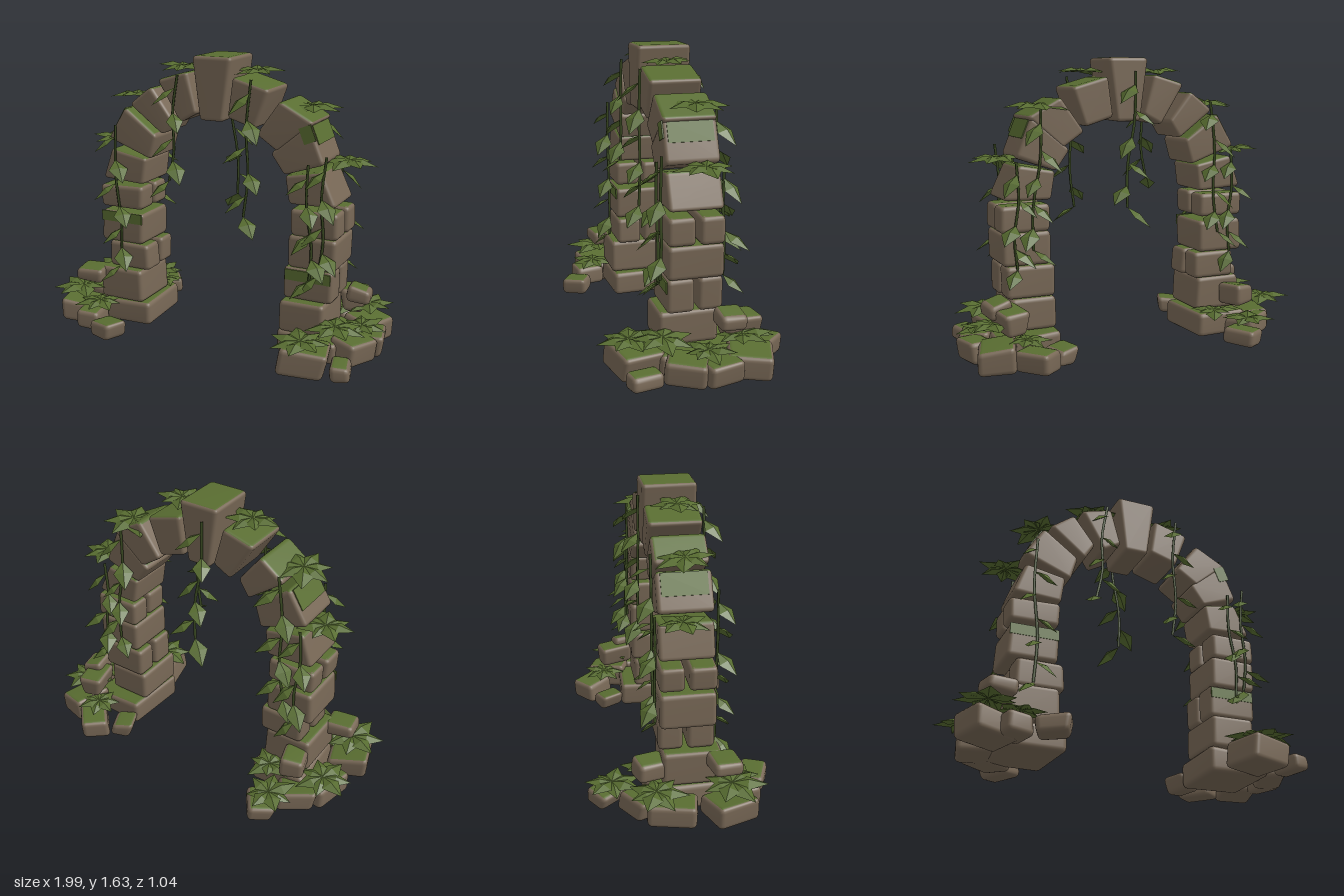
import * as THREE from 'three';
import { mergeVertices } from 'three/addons/utils/BufferGeometryUtils.js';
import { RoundedBoxGeometry } from 'three/addons/geometries/RoundedBoxGeometry.js';

const material = (name, color, side = THREE.FrontSide) => {
  const m = new THREE.MeshStandardMaterial({ color, side });
  m.name = name;
  return m;
};

export function createModel() {
  const stoneMat = material('stone', 0x786856);
  const mossMat = material('moss', 0x596d31);
  const leafMat = material('leaf', 0x576c30, THREE.DoubleSide);
  const stemMat = material('stem', 0x3a4a22);
  const model = new THREE.Group();
  model.name = 'overgrownStoneArch';

  let seed = 7;
  const rand = (a, b) => {
    seed = (seed * 16807) % 2147483647;
    return a + (b - a) * (seed / 2147483647);
  };

  // Bevelled block warped to a four-cornered outline (top left, top right, bottom right, bottom left);
  // faces whose normal rises above mossLimit are moss.
  function stone(name, [tl, tr, br, bl], z0, z1, { turn = 0, tilt = 0, lean = 0, bevel = 0.022, mossLimit = 0.6 } = {}) {
    const c = [0, 1].map(i => (tl[i] + tr[i] + br[i] + bl[i]) / 4);
    const w = (Math.hypot(tr[0] - tl[0], tr[1] - tl[1]) + Math.hypot(br[0] - bl[0], br[1] - bl[1])) / 2;
    const h = (Math.hypot(tl[0] - bl[0], tl[1] - bl[1]) + Math.hypot(tr[0] - br[0], tr[1] - br[1])) / 2;
    let geo = new RoundedBoxGeometry(w, h, z1 - z0, 2, bevel);
    geo.deleteAttribute('normal');
    geo.deleteAttribute('uv');
    geo.clearGroups();
    geo = mergeVertices(geo, 1e-4);
    const p = geo.attributes.position;
    for (let i = 0; i < p.count; i++) {
      const u = p.getX(i) / w + 0.5, v = p.getY(i) / h + 0.5;
      const at = k => (1 - v) * ((1 - u) * bl[k] + u * br[k]) + v * ((1 - u) * tl[k] + u * tr[k]) - c[k];
      p.setXY(i, at(0), at(1));
    }
    geo.rotateZ(tilt).rotateX(lean).rotateY(turn).translate(c[0], c[1], (z0 + z1) / 2);
    geo.computeVertexNormals();

    const bare = [], moss = [], tri = new THREE.Triangle(), n = new THREE.Vector3();
    const idx = geo.index.array;
    for (let i = 0; i < idx.length; i += 3) {
      tri.setFromAttributeAndIndices(p, idx[i], idx[i + 1], idx[i + 2]);
      tri.getNormal(n);
      (n.y > mossLimit ? moss : bare).push(idx[i], idx[i + 1], idx[i + 2]);
    }
    geo.setIndex([...bare, ...moss]);
    geo.addGroup(0, bare.length, 0);
    geo.addGroup(bare.length, moss.length, 1);
    const mesh = new THREE.Mesh(geo, [stoneMat, mossMat]);
    mesh.name = name;
    model.add(mesh);
  }
  const rect = (x0, x1, y0, y1, j) => [
    [x0 + rand(0, j), y1 - rand(0, j)], [x1 - rand(0, j), y1 - rand(0, j)],
    [x1 - rand(0, j), y0], [x0 + rand(0, j), y0]];

  // Wedge stones of the arch
  const BACK = -0.135, FRONT = 0.165;
  stone('keystone', [[-0.115, 1.625], [0.125, 1.625], [0.072, 1.275], [-0.067, 1.275]], BACK, FRONT, { mossLimit: 0.95 });
  [
    [[-0.34, 1.48], [-0.15, 1.535], [-0.09, 1.31], [-0.195, 1.25]],
    [[-0.525, 1.33], [-0.38, 1.44], [-0.25, 1.27], [-0.31, 1.17]],
    [[-0.67, 1.12], [-0.555, 1.31], [-0.35, 1.16], [-0.39, 1.02]],
    [[-0.65, 1.065], [-0.42, 1.02], [-0.44, 0.865], [-0.715, 0.88]],
    [[0.125, 1.525], [0.34, 1.465], [0.26, 1.25], [0.095, 1.3]],
    [[0.4, 1.415], [0.595, 1.31], [0.39, 1.14], [0.265, 1.225]],
    [[0.565, 1.315], [0.655, 1.095], [0.43, 1.02], [0.35, 1.13]],
    [[0.435, 1.02], [0.64, 1.06], [0.73, 0.87], [0.46, 0.865]],
  ].forEach(q => stone('archStone', q, BACK, FRONT - 0.01, { mossLimit: 0.7 }));

  // Pillar courses: x range, y range, and whether the course is a pair of stones
  [
    [-0.735, -0.44, 0.71, 0.855, true], [-0.735, -0.44, 0.5, 0.695, false],
    [-0.69, -0.405, 0.345, 0.51, true], [-0.73, -0.435, 0.15, 0.35, false],
    [0.465, 0.755, 0.695, 0.85, true], [0.45, 0.745, 0.515, 0.7, false],
    [0.435, 0.73, 0.335, 0.52, true], [0.42, 0.7, 0.15, 0.34, false],
  ].forEach(([x0, x1, y0, y1, pair]) => {
    const spans = pair ? [[0.018, FRONT], [BACK, -0.002]] : y0 < 0.2 ? [[-0.12, 0.2]] : [[BACK, FRONT]];
    for (const [z0, z1] of spans)
      stone('pillarStone', rect(x0, x1, y0, y1, 0.015), z0, z1, { mossLimit: 0.95, bevel: 0.026 });
  });

  // Moss creeping over stone edges: centre, size, lean
  [
    [-0.587, 0.655, 0.164, 0.27, 0.06, 0.008, 0], [0.583, 0.475, 0.164, 0.26, 0.06, 0.008, 0],
    [0.593, 1.248, 0.01, 0.11, 0.009, 0.24, -1.18], [-0.594, 1.248, 0.01, 0.12, 0.009, 0.24, 1.03],
    [0.56, 1.25, 0.154, 0.09, 0.07, 0.008, -1.18],
  ].forEach(([x, y, z, w, h, d, lean]) => {
    const patch = new THREE.Mesh(new THREE.BoxGeometry(w, h, d), mossMat);
    patch.position.set(x, y, z);
    patch.rotation.z = lean;
    patch.name = 'mossPatch';
    model.add(patch);
  });

  // Footings and fallen rubble: centre x, bottom, centre z, width, height, depth, turn
  [
    [-0.57, 0.01, 0.0, 0.38, 0.15, 0.4, 0.05], [-0.83, 0.01, 0.22, 0.28, 0.15, 0.24, 0.3],
    [-0.8, 0.01, -0.08, 0.22, 0.13, 0.26, -0.2], [-0.58, 0.01, -0.4, 0.2, 0.13, 0.19, 0.6],
    [-0.54, 0.01, 0.41, 0.19, 0.1, 0.15, -0.4], [-0.72, 0.01, 0.31, 0.2, 0.12, 0.18, 0.2],
    [-0.72, 0.01, -0.22, 0.24, 0.15, 0.2, 0.5],
    [-0.78, 0.26, 0.2, 0.2, 0.1, 0.16, 0.15], [-0.68, 0.19, -0.18, 0.18, 0.13, 0.17, 0.3],
    [0.6, 0.01, 0.0, 0.42, 0.15, 0.4, -0.05], [0.63, 0.01, 0.32, 0.3, 0.17, 0.24, 0.25],
    [0.63, 0.01, -0.38, 0.21, 0.14, 0.2, 0.75], [0.48, 0.01, -0.29, 0.18, 0.12, 0.15, 0.4],
    [0.83, 0.01, 0.09, 0.22, 0.15, 0.22, -0.4], [0.84, 0.01, 0.31, 0.15, 0.1, 0.18, 0.25],
    [0.8, 0.01, -0.25, 0.24, 0.15, 0.24, -0.3], [0.88, 0.01, -0.08, 0.18, 0.15, 0.2, 0.2],
    [0.78, 0.265, -0.15, 0.2, 0.1, 0.15, 0.15], [0.73, 0.19, -0.22, 0.17, 0.13, 0.2, 0.2],
  ].forEach(([x, y, z, w, h, d, turn]) =>
    stone('rubble', rect(x - w / 2, x + w / 2, y, y + h, 0.04), z - d / 2, z + d / 2, {
      turn, tilt: w > 0.35 ? 0 : rand(-0.12, 0.12), lean: w > 0.35 ? 0 : rand(-0.12, 0.12),
      bevel: 0.028, mossLimit: 0.9,
    }));

  // Folded leaf of unit length pointing along +z
  const B = [0, 0, 0], L = [-0.33, -0.05, 0.42], R = [0.33, -0.05, 0.42], M = [0, 0.07, 0.45], T = [0, -0.1, 1];
  const leafGeo = new THREE.BufferGeometry();
  leafGeo.setAttribute('position', new THREE.Float32BufferAttribute(
    [B, M, R, B, L, M, M, T, R, M, L, T].flat(), 3));
  leafGeo.computeVertexNormals();
  function leaf(parent, pos, azimuth, pitch, size) {
    const m = new THREE.Mesh(leafGeo, leafMat);
    m.name = 'leaf';
    m.position.copy(pos);
    m.rotation.set(pitch, azimuth, 0, 'YXZ');
    m.scale.setScalar(size);
    parent.add(m);
  }

  // Flat leaf rosettes: centre and radius
  [
    [-0.23, 1.555, 0.03, 0.15], [0.22, 1.555, 0.03, 0.15], [-0.55, 1.375, 0.02, 0.16], [0.51, 1.375, -0.04, 0.17],
    [-0.72, 1.1, -0.02, 0.14], [0.73, 1.1, -0.03, 0.16],
    [-0.63, 0.155, -0.38, 0.15], [-0.85, 0.22, -0.17, 0.16], [-0.83, 0.22, 0.23, 0.17], [-0.68, 0.165, 0.28, 0.14],
    [-0.52, 0.165, -0.19, 0.13], [0.62, 0.185, 0.34, 0.17], [0.76, 0.24, 0.2, 0.16],
    [0.82, 0.24, -0.2, 0.16], [0.84, 0.18, -0.02, 0.13], [0.66, 0.165, -0.3, 0.12],
  ].forEach(([x, y, z, r]) => {
    const rosette = new THREE.Group();
    rosette.name = 'leafRosette';
    rosette.position.set(x, y, z);
    const start = rand(0, 1);
    for (let i = 0; i < 7; i++)
      leaf(rosette, new THREE.Vector3(), start + i * Math.PI * 2 / 7, rand(-0.12, 0.1), r * rand(0.85, 1.15));
    model.add(rosette);
  });

  // Hanging vines: x, top, bottom, side (+1 front, -1 back), sideways drift
  [
    [-0.19, 1.52, 0.92, 1, -0.06], [0.25, 1.52, 0.77, 1, -0.04], [-0.6, 1.21, 0.36, 1, 0.01],
    [0.58, 1.1, 0.46, 1, 0.02], [0.68, 1.15, 0.5, 1, -0.03],
    [-0.03, 1.55, 0.8, -1, 0.05], [-0.5, 1.38, 0.62, -1, -0.06], [0.52, 1.35, 0.6, -1, 0.05],
    [-0.64, 1.1, 0.5, -1, 0], [0.66, 1.08, 0.5, -1, 0],
  ].forEach(([x, top, bottom, side, drift]) => {
    const vine = new THREE.Group();
    vine.name = side > 0 ? 'frontVine' : 'backVine';
    const z = side > 0 ? 0.182 : -0.148;
    const curve = new THREE.CatmullRomCurve3([0, 0.35, 0.7, 1].map((t, i) => new THREE.Vector3(
      x + drift * t + [0, -0.012, 0.015, 0][i], top + (bottom - top) * t, z)));
    const stem = new THREE.Mesh(new THREE.TubeGeometry(curve, 10, 0.008, 5), stemMat);
    stem.name = 'vineStem';
    vine.add(stem);
    const count = Math.round((top - bottom) / 0.15);
    for (let i = 0; i <= count; i++) {
      const swing = (i % 2 ? 1 : -1) * rand(0.6, 1.05);
      const t = Math.min(1, (i + 0.5) / (count + 0.5));
      leaf(vine, curve.getPoint(t), (side > 0 ? 0 : Math.PI) + swing, rand(0.45, 0.7), rand(0.14, 0.175));
    }
    model.add(vine);
  });

  return model;
}
